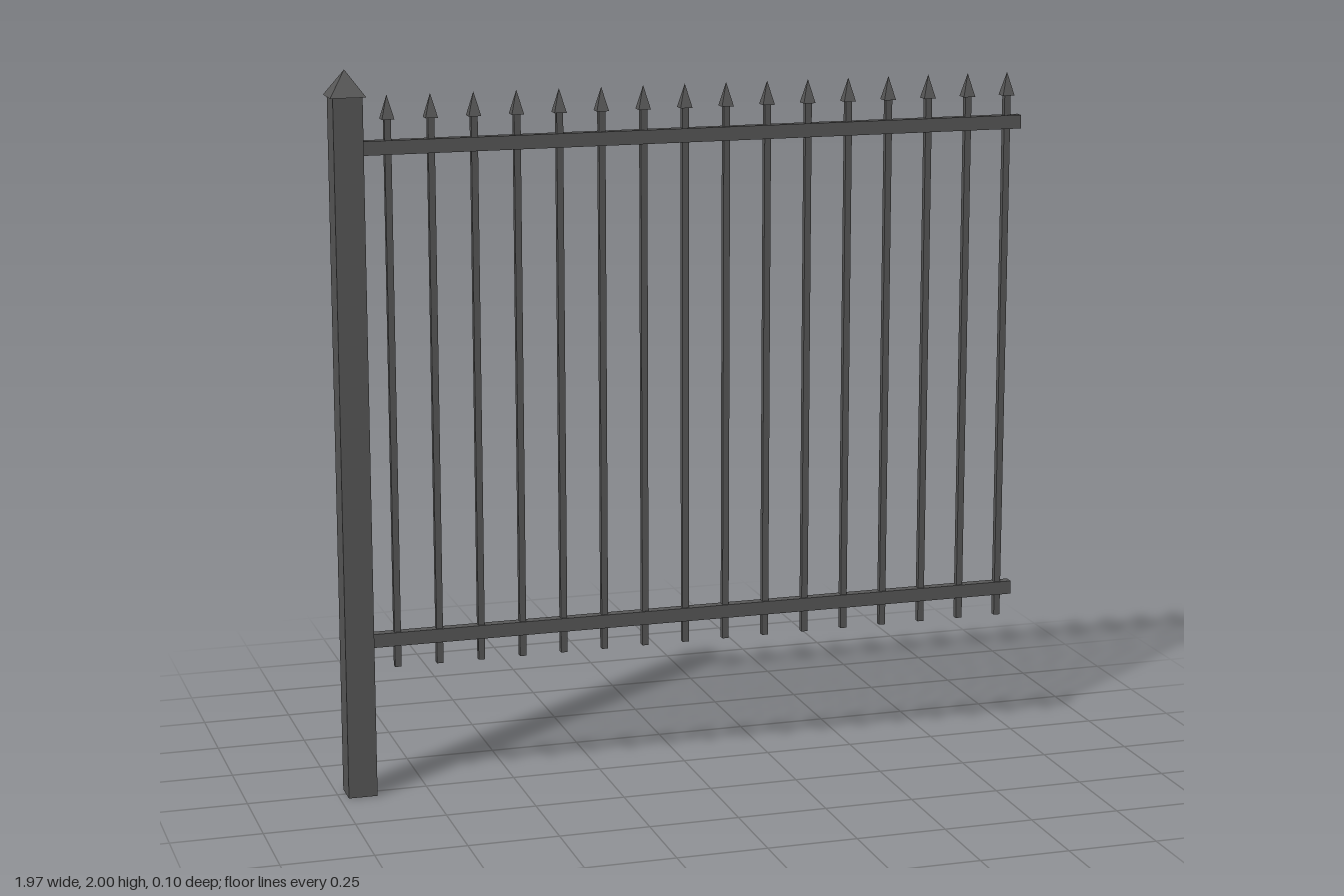
import * as THREE from 'three';

export function createModel() {
  const model = new THREE.Group();
  model.name = 'fencePanel';
  const iron = new THREE.MeshStandardMaterial({ color: 0x585858 });
  iron.name = 'darkGreyIron';

  const add = (name, geometry, x, y, z = 0) => {
    const mesh = new THREE.Mesh(geometry, iron);
    mesh.name = name;
    mesh.position.set(x, y, z);
    model.add(mesh);
  };

  // Square pyramid with its sides aligned to the axes
  const pyramid = (width, height) =>
    new THREE.ConeGeometry(width / Math.SQRT2, height, 4, 1).rotateY(Math.PI / 4).toNonIndexed();
  const flatPyramid = (width, height) => {
    const geometry = pyramid(width, height);
    geometry.computeVertexNormals();
    return geometry;
  };

  // Post and its overhanging cap
  const postX = -0.936;
  add('post', new THREE.BoxGeometry(0.08, 1.93, 0.08), postX, 0.965);
  add('postCap', flatPyramid(0.097, 0.07), postX, 1.965);

  // Horizontal rails, running from the post to the open end
  for (const [name, y] of [['lowerRail', 0.435], ['upperRail', 1.79]]) {
    add(name, new THREE.BoxGeometry(1.884, 0.038, 0.028), 0.042, y);
  }

  // Evenly spaced pickets with spear tips
  const bar = new THREE.BoxGeometry(0.018, 1.515, 0.018);
  const tip = flatPyramid(0.034, 0.065);
  for (let i = 0; i < 16; i++) {
    const x = -0.824 + i * 0.1179;
    add('picket', bar, x, 1.1125);
    add('spearTip', tip, x, 1.8975);
  }
  return model;
}
